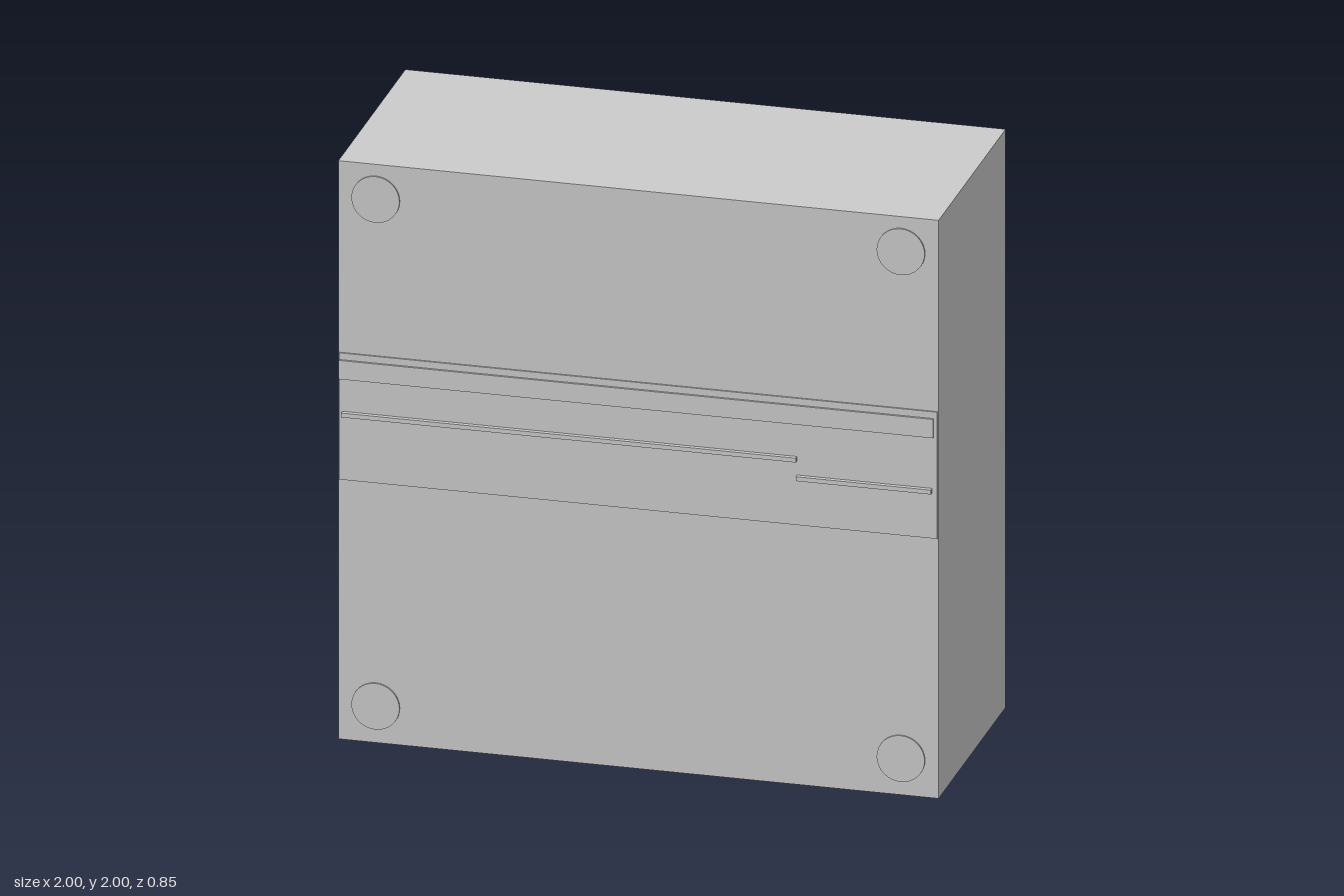
import * as THREE from 'three';

const FACE = 0.402; // z of the cabinet's front face

export function createModel() {
  const group = new THREE.Group();
  const material = new THREE.MeshStandardMaterial({ color: 0xcccccc, flatShading: true });

  // Box given by its limits on each axis
  function box(name, x0, x1, y0, y1, z0, z1) {
    const mesh = new THREE.Mesh(new THREE.BoxGeometry(x1 - x0, y1 - y0, z1 - z0), material);
    mesh.position.set((x0 + x1) / 2, (y0 + y1) / 2, (z0 + z1) / 2);
    mesh.name = name;
    group.add(mesh);
  }

  box('body', -1, 1, 0, 2, -0.424, FACE);

  // Shallow panel across the front, in a narrow and a wide section
  box('narrowPanel', -0.997, -0.84, 0.9, 1.338, FACE - 0.01, 0.408);
  box('widePanel', -0.84, 0.997, 0.9, 1.338, FACE - 0.01, 0.408);

  // Raised bar and two thin rails on the panel
  box('bar', -0.995, 0.985, 1.25, 1.315, FACE, 0.416);
  box('longRail', -0.985, 0.53, 1.122, 1.137, FACE, 0.424);
  box('shortRail', 0.53, 0.98, 1.058, 1.073, FACE, 0.424);

  // Flat round caps near the four corners
  const capGeometry = new THREE.CylinderGeometry(0.08, 0.08, 0.016, 32).rotateX(Math.PI / 2);
  for (const x of [-0.875, 0.875]) {
    for (const y of [0.127, 1.88]) {
      const cap = new THREE.Mesh(capGeometry, material);
      cap.position.set(x, y, FACE - 0.002);
      cap.name = 'cornerCap';
      group.add(cap);
    }
  }

  return group;
}
